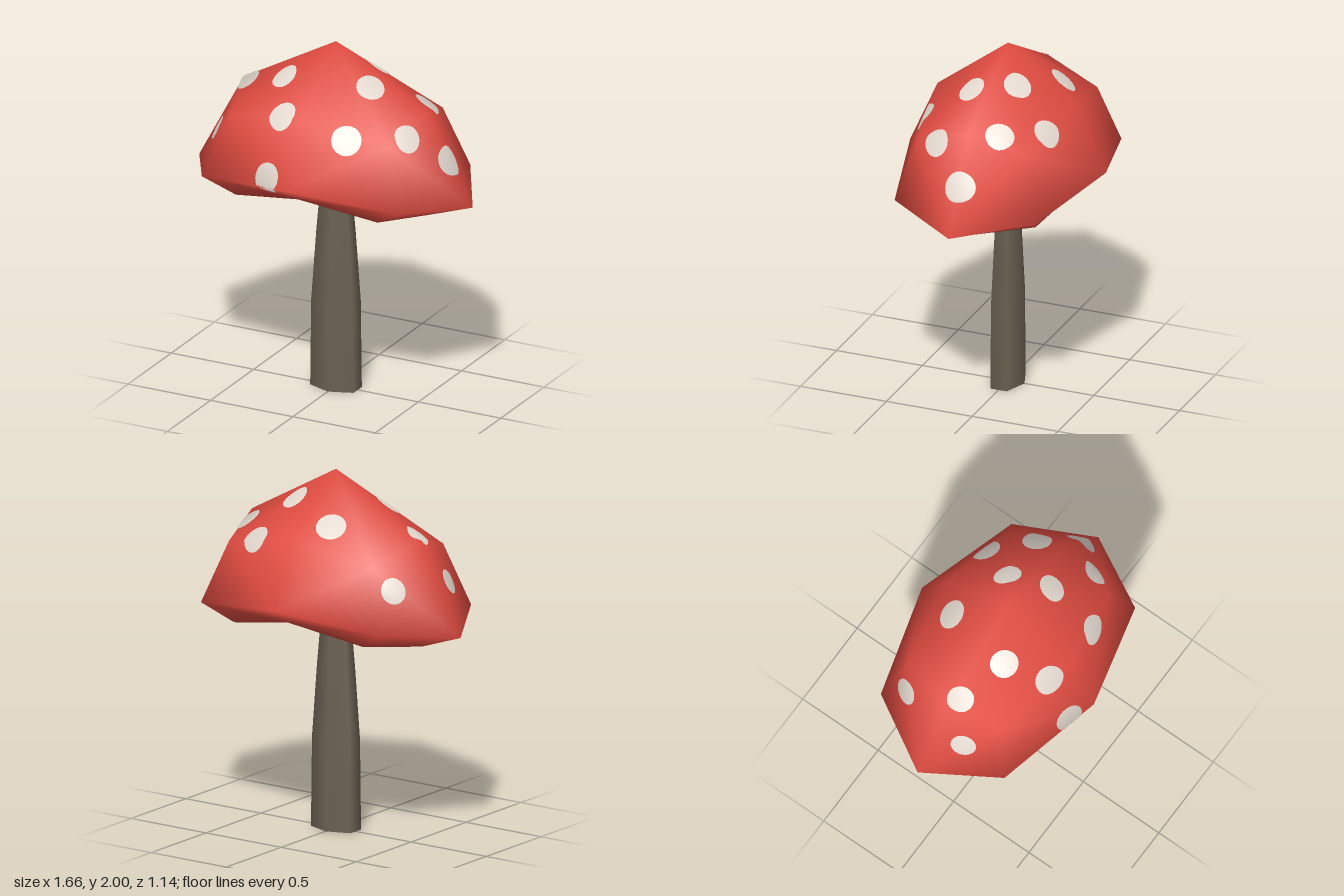
import * as THREE from 'three';

const red = new THREE.MeshStandardMaterial({ color: 0xe24c41 });
red.name = 'capRed';
const cream = new THREE.MeshStandardMaterial({ color: 0xe4d9d0 });
cream.name = 'spotCream';
const bark = new THREE.MeshStandardMaterial({ color: 0x6c6153, side: THREE.DoubleSide });
bark.name = 'stemBrown';

// Eight-point ring, mirrored from its front, corner and side points [x, y, z]
function ring(front, corner, side) {
  const [x, y, z] = corner;
  return [
    front, corner, side, [x, y, -z],
    [0, front[1], -front[2]], [-x, y, -z], [-side[0], side[1], 0], [-x, y, z],
  ];
}

// Faceted dome with a drooping rim and a hollowed underside
function capGeometry() {
  const rings = [
    ring([0, 1.69, 0.41], [0.48, 1.59, 0.32], [0.56, 1.69, 0]),
    ring([0, 1.33, 0.57], [0.6, 1.25, 0.41], [0.83, 1.19, 0]),
    ring([0, 1.24, 0.44], [0.43, 1.15, 0.34], [0.57, 1.1, 0]),
  ];
  const points = [[0, 2, 0], ...rings.flat(), [0, 1.215, 0]];
  const bottom = points.length - 1;
  const index = [];
  for (let k = 0; k < 8; k++) {
    const n = (k + 1) % 8;
    index.push(0, 1 + k, 1 + n);
    for (let r = 0; r < 2; r++) {
      const a = 1 + r * 8 + k, b = 1 + r * 8 + n, c = a + 8, d = b + 8;
      // Diagonals alternate so the cap stays symmetrical
      if (k % 2) index.push(a, c, d, a, d, b);
      else index.push(a, c, b, b, c, d);
    }
    index.push(bottom, 17 + n, 17 + k);
  }
  const geo = new THREE.BufferGeometry();
  geo.setAttribute('position', new THREE.Float32BufferAttribute(points.flat(), 3));
  geo.setIndex(index);
  geo.computeVertexNormals();
  return geo;
}

// Thin round patch draped over the cap around the point above (x, z)
function spotGeometry(cap, x, z, radius) {
  const caster = new THREE.Raycaster();
  const down = new THREE.Vector3(0, -1, 0);
  caster.set(new THREE.Vector3(x, 3, z), down);
  const hit = caster.intersectObject(cap)[0];
  const axis = hit.face.normal.clone().add(hit.normal).normalize();
  const u = new THREE.Vector3(0, 1, 0).cross(axis).normalize();
  const v = axis.clone().cross(u);
  const position = [], normal = [], index = [];
  const RINGS = 6, SIDES = 24;

  const drape = (r, angle) => {
    const p = hit.point.clone()
      .addScaledVector(u, r * Math.cos(angle))
      .addScaledVector(v, r * Math.sin(angle));
    caster.set(p.clone().addScaledVector(axis, 0.3), axis.clone().negate());
    const h = caster.intersectObject(cap)[0];
    const q = h ? h.point : p;
    q.addScaledVector(axis, 0.006);
    position.push(q.x, q.y, q.z);
    normal.push(...(h ? h.normal : axis).toArray());
  };

  drape(0, 0);
  for (let r = 1; r <= RINGS; r++) {
    for (let s = 0; s < SIDES; s++) {
      drape(radius * r / RINGS, s / SIDES * Math.PI * 2);
      const n = (s + 1) % SIDES;
      const c = 1 + (r - 1) * SIDES + s, d = 1 + (r - 1) * SIDES + n;
      if (r === 1) index.push(0, c, d);
      else index.push(c - SIDES, c, d, c - SIDES, d, d - SIDES);
    }
  }
  const geo = new THREE.BufferGeometry();
  geo.setAttribute('position', new THREE.Float32BufferAttribute(position, 3));
  geo.setAttribute('normal', new THREE.Float32BufferAttribute(normal, 3));
  geo.setIndex(index);
  return geo;
}

export function createModel() {
  const group = new THREE.Group();
  group.name = 'mushroom';

  // Six-sided tapering stem, flattened front to back and open below
  const profile = [[0.152, 0], [0.146, 0.5], [0.116, 0.9], [0.087, 1.215]]
    .map(([r, y]) => new THREE.Vector2(r, y));
  const stem = new THREE.Mesh(new THREE.LatheGeometry(profile, 6).scale(1, 1, 0.63), bark);
  stem.name = 'stem';
  group.add(stem);

  const cap = new THREE.Mesh(capGeometry(), red);
  cap.name = 'cap';
  group.add(cap);

  // Scattered spots: x, z, radius
  const spots = [
    [-0.57, -0.26, 0.073], [-0.155, -0.255, 0.083], [0.28, -0.345, 0.08],
    [0.175, -0.13, 0.078], [0.475, -0.15, 0.08], [0.695, 0, 0.085],
    [-0.505, 0.05, 0.073], [-0.63, 0.16, 0.07], [-0.235, 0.145, 0.078],
    [-0.13, 0.37, 0.083], [-0.15, 0.51, 0.082], [0.26, 0.1, 0.078],
    [0.26, 0.375, 0.083], [0.53, 0.19, 0.078],
  ];
  const spotGroup = new THREE.Group();
  spotGroup.name = 'spots';
  for (const [x, z, r] of spots) {
    const spot = new THREE.Mesh(spotGeometry(cap, x, z, r), cream);
    spot.name = 'spot';
    spotGroup.add(spot);
  }
  group.add(spotGroup);
  return group;
}
